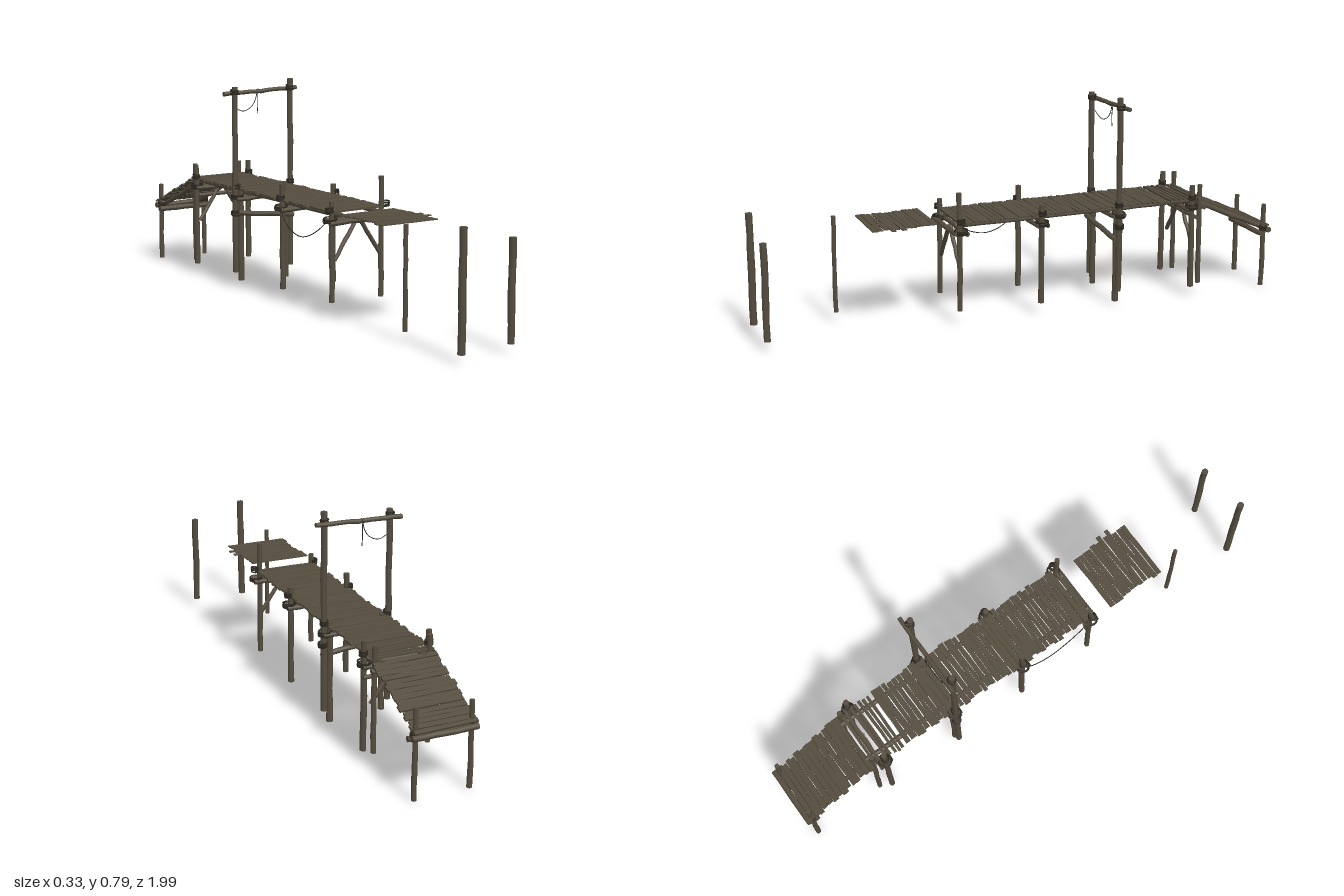
import * as THREE from 'three';

const wood = new THREE.MeshStandardMaterial({ color: 0x544c3e });
wood.name = 'weathered wood';
const rope = new THREE.MeshStandardMaterial({ color: 0x2c2720 });
rope.name = 'dark rope';

let seed = 11;
const rnd = () => (seed = (seed * 16807) % 2147483647) / 2147483647;
const jit = (a) => (rnd() - 0.5) * 2 * a;
const V = (x, y, z) => new THREE.Vector3(x, y, z);

export function createModel() {
  const root = new THREE.Group();
  root.name = 'ruinedPier';

  const add = (name, geo, mat) => {
    const m = new THREE.Mesh(geo, mat);
    m.name = name;
    root.add(m);
    return m;
  };

  // Rough log between two points: rings shift and swell a little
  const log = (name, a, b, r, wobble = 0.0015) => {
    const len = a.distanceTo(b), segs = 6;
    const geo = new THREE.CylinderGeometry(r * 0.95, r, len, 10, segs);
    const rings = Array.from({ length: segs + 1 }, () => [jit(wobble), jit(wobble), 1 + jit(0.06)]);
    const p = geo.attributes.position;
    for (let i = 0; i < p.count; i++) {
      const [dx, dz, s] = rings[Math.round((p.getY(i) / len + 0.5) * segs)];
      p.setXYZ(i, p.getX(i) * s + dx, p.getY(i), p.getZ(i) * s + dz);
    }
    geo.computeVertexNormals();
    const m = add(name, geo, wood);
    m.position.copy(a).lerp(b, 0.5);
    m.quaternion.setFromUnitVectors(V(0, 1, 0), b.clone().sub(a).normalize());
    return m;
  };

  // Rope lashing: stacked coils around a post
  const lashing = (x, y, z, r) => {
    for (let i = 0; i < 4; i++) {
      const m = add('lashing', new THREE.TorusGeometry(r + 0.001, 0.0028, 5, 14), rope);
      m.position.set(x, y + (i - 1.5) * 0.005, z);
      m.rotation.set(Math.PI / 2 + jit(0.15), jit(0.15), 0);
    }
  };

  const cord = (name, pts, r = 0.0015) =>
    add(name, new THREE.TubeGeometry(new THREE.CatmullRomCurve3(pts), 28, r, 5), rope);

  // Posts: x, z, bottom, top, radius
  const posts = [
    [-0.105, 0.985, 0.03, 0.44, 0.0135], [0.1, 0.985, 0.035, 0.385, 0.0125],
    [-0.1, 0.685, 0.04, 0.4, 0.0085],
    [-0.112, 0.28, 0.06, 0.42, 0.01], [0.102, 0.28, 0.055, 0.492, 0.01],
    [-0.112, -0.032, 0.05, 0.44, 0.011], [0.112, -0.032, 0.05, 0.42, 0.011],
    [-0.127, -0.338, 0.06, 0.77, 0.0115], [0.122, -0.338, 0.06, 0.79, 0.0115],
    [-0.103, -0.338, 0.025, 0.39, 0.0115], [0.1, -0.338, 0.015, 0.39, 0.0115],
    [-0.122, -0.643, 0.04, 0.435, 0.011], [0.12, -0.643, 0.04, 0.435, 0.011],
    [-0.104, -0.685, 0.045, 0.435, 0.0095], [0.102, -0.685, 0.045, 0.43, 0.0095],
    [-0.104, -0.968, 0.005, 0.315, 0.0095], [0.1, -0.968, 0, 0.325, 0.0095],
  ];
  for (const [x, z, y0, y1, r] of posts) log('post', V(x, y0, z), V(x, y1, z), r);

  // Stringers under the deck and down the ramp
  for (const s of [-1, 1]) {
    const x = s * 0.08;
    log('stringer', V(x, 0.368, 0.292), V(x, 0.368, -0.34), 0.0095);
    log('stringer', V(x, 0.366, -0.3), V(x, 0.368, -0.7), 0.0095);
    log('rampStringer', V(x, 0.36, -0.68), V(x, 0.226, -0.985), 0.0095);
  }

  // Paired cross beams clamp the posts at every bent
  for (const z of [0.28, -0.032, -0.338, -0.643]) {
    for (const s of [-1, 1])
      log('crossBeam', V(-0.132, 0.347 + jit(0.004), z + s * 0.018), V(0.132, 0.347 + jit(0.004), z + s * 0.018), 0.0095);
    for (const s of [-1, 1]) {
      lashing(s * 0.118, 0.352, z, 0.022);
      lashing(s * 0.122, 0.39, z, 0.012);
    }
  }
  log('crossBeam', V(-0.12, 0.345, -0.698), V(0.12, 0.345, -0.698), 0.009);
  log('tieBeam', V(-0.125, 0.292, -0.322), V(0.125, 0.262, -0.322), 0.01);
  log('tieBeam', V(-0.125, 0.31, -0.66), V(0.13, 0.312, -0.66), 0.008);
  for (const s of [-1, 1]) lashing(s * 0.127, s < 0 ? 0.29 : 0.31, -0.338, 0.014);

  // Diagonal braces
  for (const z of [0.28, -0.655])
    for (const s of [-1, 1])
      log('brace', V(s * 0.008, 0.345, z), V(s * 0.1, 0.21, z), 0.008);

  // Ramp foot beams
  for (const [y, z] of [[0.213, -0.953], [0.225, -0.983]]) log('rampBeam', V(-0.12, y, z), V(0.12, y, z), 0.011);
  for (const s of [-1, 1]) lashing(s * 0.102, 0.23, -0.968, 0.013);

  // Planks: rough boards with uneven ends and a slight skew
  const plank = (z, y, w, tilt = 0, x0 = -0.12, x1 = 0.114, h = 0.007) => {
    const a = x0 + jit(0.007), b = x1 + jit(0.006);
    const geo = new THREE.BoxGeometry(b - a, h, w, 5, 1, 1);
    const p = geo.attributes.position;
    const edge = Array.from({ length: 12 }, () => jit(0.0012));
    for (let i = 0; i < p.count; i++) {
      const k = Math.round((p.getX(i) / (b - a) + 0.5) * 5);
      p.setZ(i, p.getZ(i) + edge[k + (p.getZ(i) > 0 ? 6 : 0)]);
    }
    geo.computeVertexNormals();
    const m = add('plank', geo, wood);
    m.position.set((a + b) / 2, y + jit(0.001), z);
    m.rotation.set(tilt, jit(0.018), jit(0.006));
  };

  for (let z = 0.283; z > -0.535; ) {
    const w = 0.014 + rnd() * 0.01;
    plank(z - w / 2, 0.381, w);
    z -= w + 0.0008 + rnd() * 0.0025;
  }
  // Sparse boards over the worn section
  for (const z of [-0.565, -0.582, -0.598, -0.618, -0.635, -0.66, -0.679]) plank(z, 0.381, 0.011);

  // Ramp boards
  const slope = Math.atan2(0.134, 0.305);
  for (let d = 0; d < 0.322; ) {
    const w = 0.015 + rnd() * 0.008;
    const c = d + w / 2;
    plank(-0.692 - c * Math.cos(slope), 0.371 - c * Math.sin(slope), w, -slope);
    d += w + 0.001 + rnd() * 0.003;
  }

  // Detached deck section
  for (let z = 0.598, i = 0; z > 0.378; i++) {
    const w = 0.016 + rnd() * 0.006;
    const long = i === 3 || i === 5;
    plank(z - w / 2, 0.385, w, 0, -0.127, long ? 0.122 : 0.101, 0.004);
    z -= w + 0.001 + rnd() * 0.002;
  }

  // Gate beam with lashings and hanging rope
  log('gateBeam', V(-0.163, 0.744, -0.357), V(0.01, 0.746, -0.357), 0.0085);
  log('gateBeam', V(0, 0.746, -0.357), V(0.162, 0.754, -0.357), 0.008);
  lashing(-0.127, 0.75, -0.34, 0.013);
  lashing(0.122, 0.755, -0.34, 0.013);
  cord('hangingRope', [V(-0.122, 0.702, -0.348), V(-0.105, 0.684, -0.355), V(-0.073, 0.674, -0.36),
    V(-0.035, 0.69, -0.364), V(-0.016, 0.718, -0.366), V(-0.008, 0.755, -0.366)]);
  cord('ropeEnd', [V(-0.008, 0.756, -0.357), V(-0.007, 0.74, -0.367), V(-0.009, 0.7, -0.366), V(-0.007, 0.66, -0.366)]);

  // Slack rope slung along the side
  cord('sideRope', [V(-0.122, 0.355, 0.275), V(-0.124, 0.313, 0.22), V(-0.124, 0.28, 0.155),
    V(-0.124, 0.268, 0.1), V(-0.124, 0.28, 0.045), V(-0.124, 0.315, -0.005), V(-0.122, 0.355, -0.028)], 0.0018);

  return root;
}
